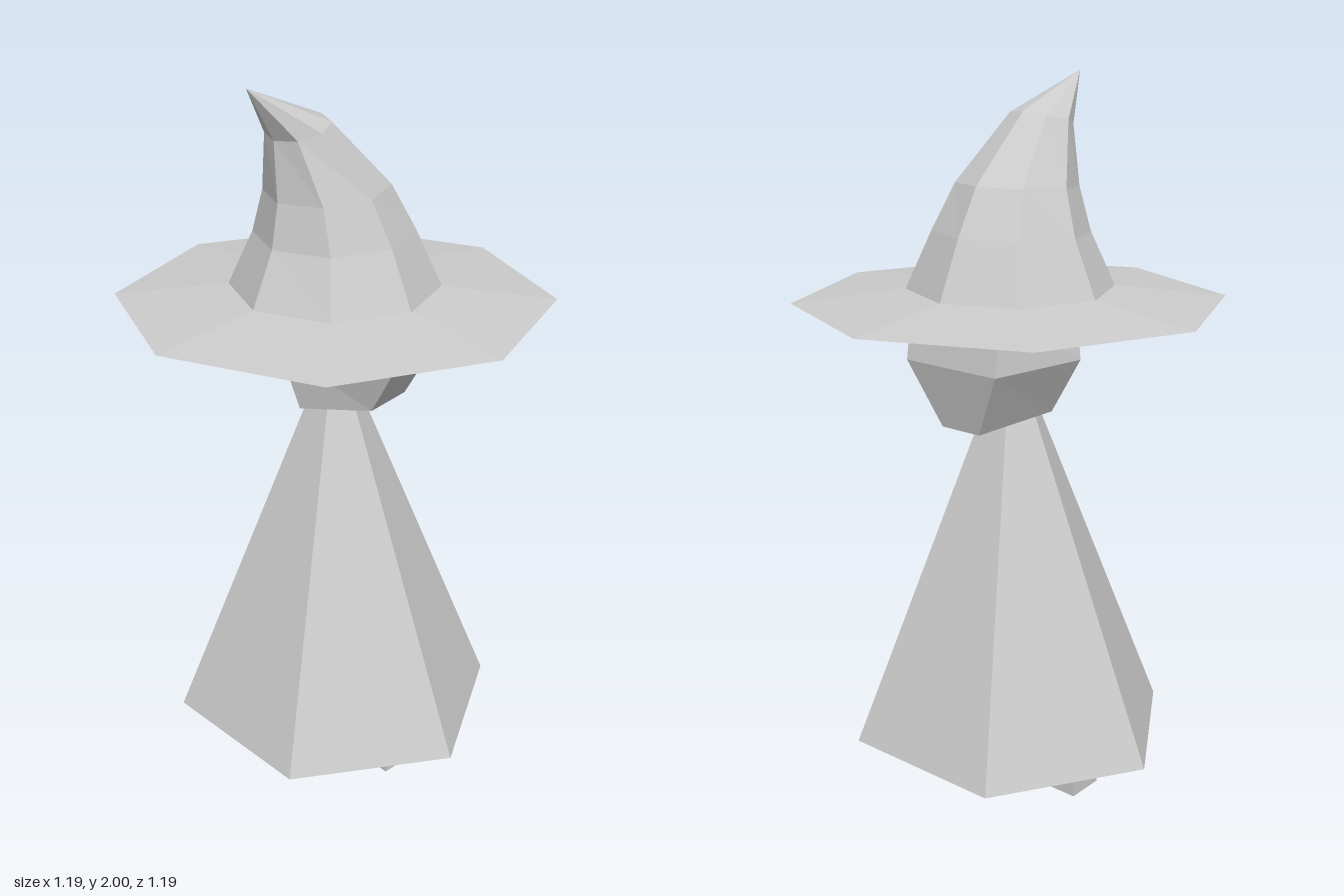
import * as THREE from 'three';

const material = new THREE.MeshStandardMaterial({ color: 0xcccccc, flatShading: true });

// Skins a stack of rings (bottom to top, each running from +x towards +z) and caps both ends
function loft(rings) {
  const pos = [];
  const area = new THREE.Triangle();
  const tri = (a, b, c) => {
    if (area.set(a, b, c).getArea() > 1e-8) for (const p of [a, b, c]) pos.push(p.x, p.y, p.z);
  };
  const n = rings[0].length;
  for (let k = 0; k < rings.length - 1; k++) {
    const lo = rings[k], hi = rings[k + 1];
    for (let i = 0; i < n; i++) {
      const j = (i + 1) % n;
      tri(lo[i], hi[i], hi[j]);
      tri(lo[i], hi[j], lo[j]);
    }
  }
  const first = rings[0], last = rings[rings.length - 1];
  for (let i = 1; i < n - 1; i++) {
    tri(first[0], first[i], first[i + 1]);
    tri(last[0], last[i + 1], last[i]);
  }
  const geo = new THREE.BufferGeometry();
  geo.setAttribute('position', new THREE.Float32BufferAttribute(pos, 3));
  geo.computeVertexNormals();
  return geo;
}

// Octagonal ring centred on (cx, cy), tilted by a slope along x
function octagon(cx, cy, rx, rz = rx, slope = 0, cz = 0) {
  return Array.from({ length: 8 }, (_, i) => {
    const a = (i * Math.PI) / 4;
    const dx = rx * Math.cos(a);
    return new THREE.Vector3(cx + dx, cy + slope * dx, cz + rz * Math.sin(a));
  });
}

// Five-sided ring mirrored in z: flat face at +x, sides, and a single corner at the rear
function headRing([fx, fy, fz], [sx, sy, sz], [bx, by]) {
  const v = (x, y, z) => new THREE.Vector3(x, y, z);
  return [v(fx, fy, -fz), v(fx, fy, fz), v(sx, sy, sz), v(bx, by, 0), v(sx, sy, -sz)];
}

export function createModel() {
  const group = new THREE.Group();
  const add = (name, geometry) => {
    const mesh = new THREE.Mesh(geometry, material);
    mesh.name = name;
    group.add(mesh);
    return mesh;
  };

  // Feet
  for (const [name, z] of [['frontFoot', 0.225], ['backFoot', -0.225]]) {
    add(name, new THREE.BoxGeometry(0.11, 0.16, 0.11)).position.set(0, 0.08, z);
  }

  // Six-sided robe, its point hidden in the head
  const robe = add('robe', new THREE.ConeGeometry(0.483, 1.16, 6));
  robe.scale.x = 0.95;
  robe.position.y = 0.14 + 0.58;

  // Head, narrowing towards the chin
  add('head', loft([
    headRing([0.21, 1.08, 0.065], [0, 1.115, 0.145], [-0.13, 1.115]),
    headRing([0.25, 1.26, 0.155], [0, 1.275, 0.24], [-0.2, 1.31]),
    headRing([0.225, 1.42, 0.155], [0, 1.42, 0.225], [-0.165, 1.42]),
  ]));

  // Wide hat brim with a thin edge
  add('hatBrim', loft([octagon(0, 1.405, 0.594), octagon(0, 1.44, 0.285)]));

  // Bent hat crown
  add('hatCrown', loft([
    octagon(0, 1.44, 0.285),
    octagon(-0.003, 1.592, 0.215, 0.215, 0.03),
    octagon(-0.028, 1.714, 0.169, 0.165, 0.06),
    octagon(-0.117, 1.882, 0.08, 0.09, 0.27, -0.01),
    octagon(-0.275, 2, 0, 0, 0, -0.017),
  ]));

  return group;
}
